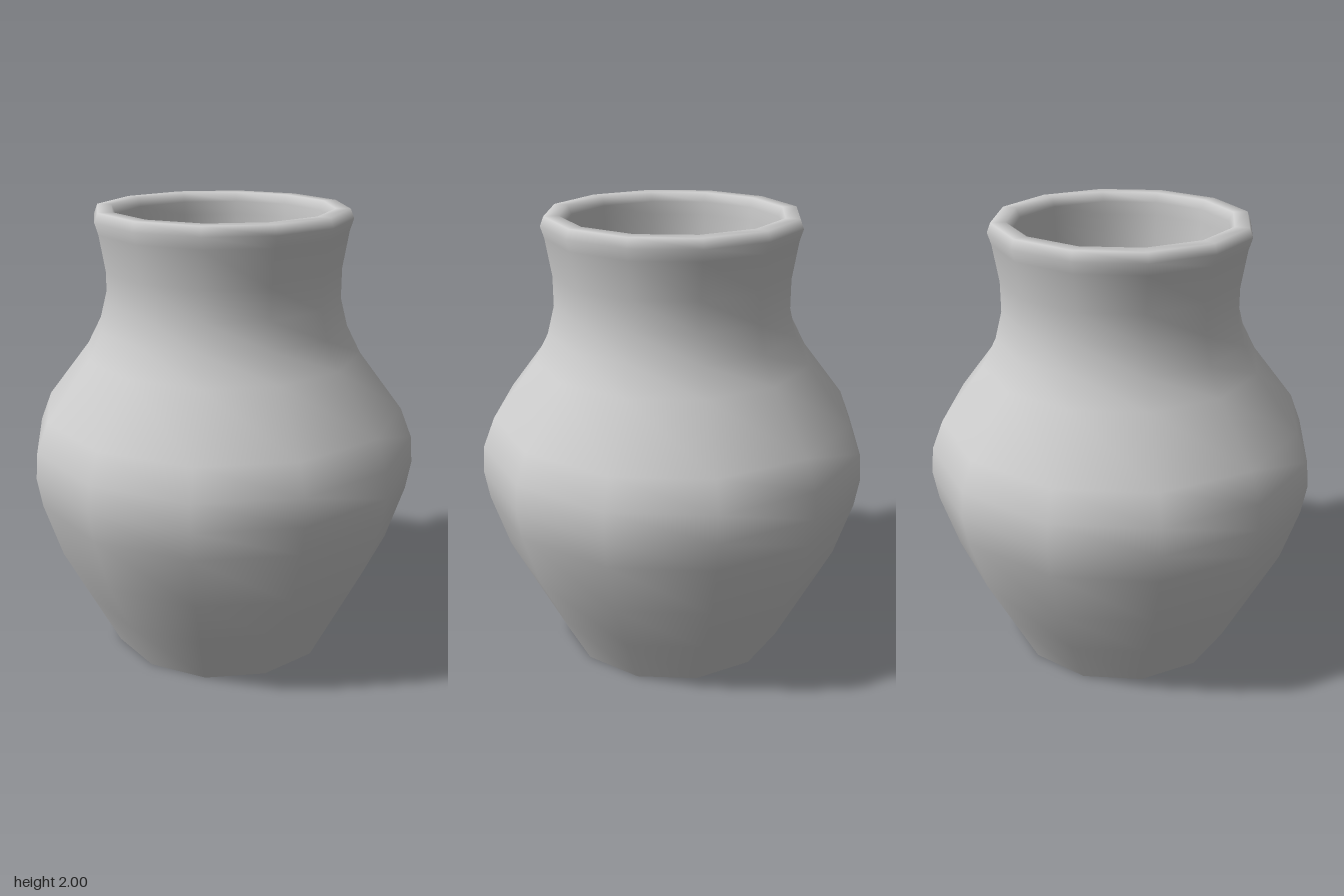
import * as THREE from 'three';

const SIDES = 12;
const APOTHEM = Math.cos(Math.PI / SIDES);

// Twelve-sided lathe with flats facing the axes; profile gives [half-width across flats, y]
function lathe(name, profile, material) {
  const points = profile.map(([w, y]) => new THREE.Vector2(w / APOTHEM, y));
  const mesh = new THREE.Mesh(new THREE.LatheGeometry(points, SIDES, Math.PI / SIDES), material);
  mesh.name = name;
  return mesh;
}

export function createModel() {
  const group = new THREE.Group();
  group.name = 'vase';
  const material = new THREE.MeshStandardMaterial({ color: 0xcccccc });

  // Outer wall from foot to lip
  const outer = [
    [0.5, 0], [0.62, 0.25], [0.74, 0.5], [0.815, 0.75], [0.835, 0.88], [0.825, 1.0],
    [0.775, 1.13], [0.59, 1.38], [0.53, 1.5], [0.5, 1.62], [0.5, 1.75], [0.525, 1.91],
  ];
  // Rounded lip
  const lip = [[0.54, 1.96], [0.525, 2.0], [0.465, 2.0], [0.448, 1.96]];
  // Inner wall down to the floor
  const inner = [
    [0.455, 1.9], [0.44, 1.75], [0.44, 1.62], [0.47, 1.49], [0.535, 1.35], [0.72, 1.1],
    [0.765, 0.99], [0.775, 0.88], [0.755, 0.76], [0.68, 0.52], [0.565, 0.27], [0.46, 0.06], [0, 0.06],
  ];
  group.add(lathe('body', [...outer, ...lip, ...inner], material));

  // Flat underside
  group.add(lathe('base', [[0, 0], [0.5, 0]], material));
  return group;
}
